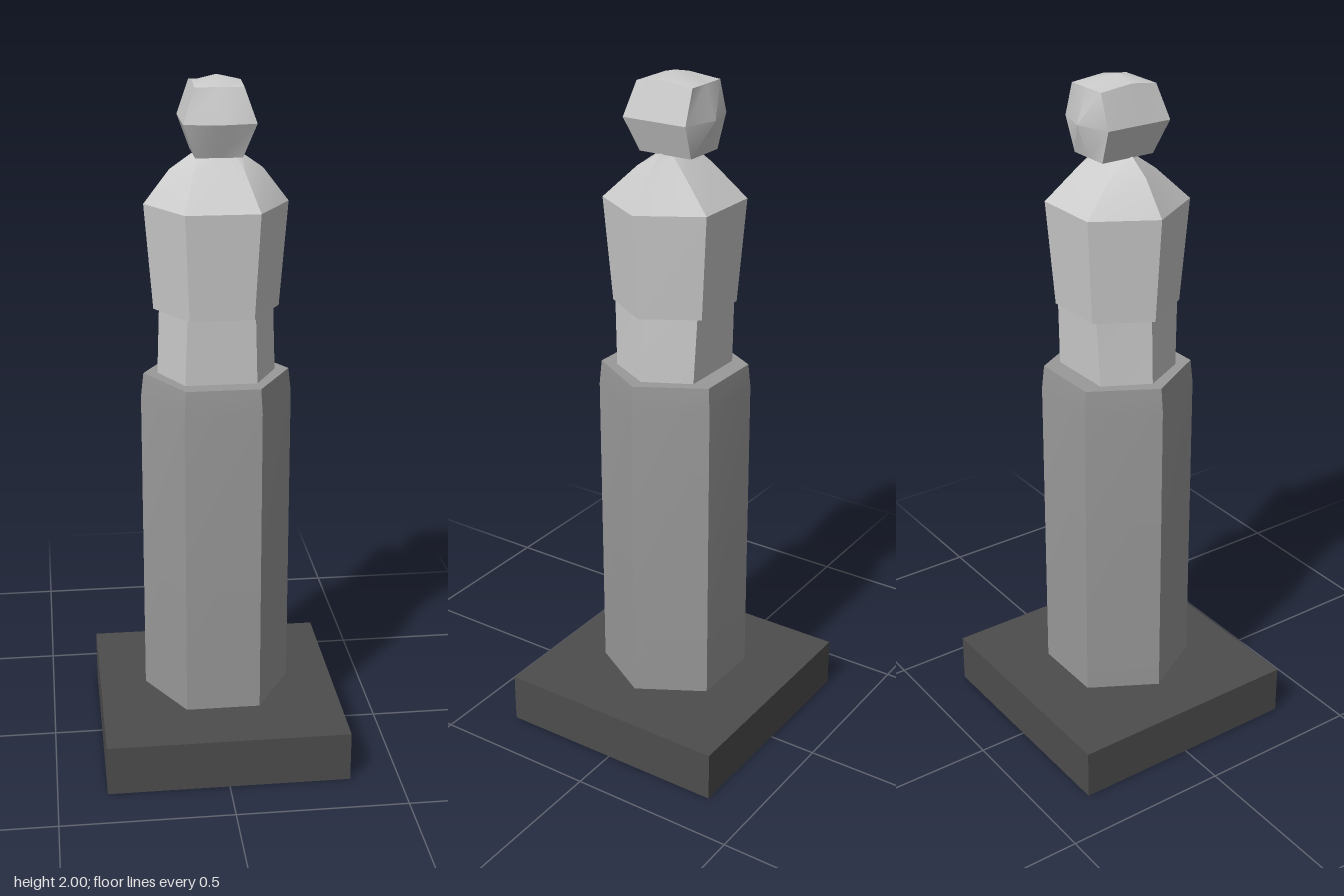
import * as THREE from 'three';
import { toCreasedNormals, mergeVertices } from 'three/addons/utils/BufferGeometryUtils.js';

const CREASE = 0.5;
const light = new THREE.MeshStandardMaterial({ color: 0xcccccc });
const mid = new THREE.MeshStandardMaterial({ color: 0x999999 });
const dark = new THREE.MeshStandardMaterial({ color: 0x4d4d4d });

// Closed six-sided loft; each ring is [side corner x, front corner x, front corner z, y]
function hexLoft(rings) {
  const pos = [], index = [];
  for (const [vx, hx, hz, y] of rings) {
    pos.push(vx, y, 0, hx, y, hz, -hx, y, hz, -vx, y, 0, -hx, y, -hz, hx, y, -hz);
  }
  for (let r = 0; r < rings.length - 1; r++) {
    for (let i = 0; i < 6; i++) {
      const a = r * 6 + i, b = r * 6 + (i + 1) % 6;
      index.push(a, a + 6, b, b, a + 6, b + 6);
    }
  }
  const top = (rings.length - 1) * 6;
  for (let i = 1; i < 5; i++) {
    index.push(0, i, i + 1, top, top + i + 1, top + i);
  }
  const geo = new THREE.BufferGeometry();
  geo.setAttribute('position', new THREE.Float32BufferAttribute(pos, 3));
  geo.setIndex(index);
  return toCreasedNormals(geo, CREASE);
}

// Faceted head: a 2x2x2 box whose panels bulge and whose ends taper
function headGeometry() {
  let geo = new THREE.BoxGeometry(2, 2, 2, 2, 2, 2);
  geo.deleteAttribute('normal');
  geo.deleteAttribute('uv');
  geo = mergeVertices(geo);
  const p = geo.attributes.position;
  const level = {
    '1': { x: 0.067, front: 0.077, back: 0.1, bulge: 0 },
    '0': { x: 0.1, front: 0.1, back: 0.1, bulge: 1 },
    '-1': { x: 0.065, front: 0.07, back: 0.095, bulge: 0 },
  };
  for (let i = 0; i < p.count; i++) {
    const x = Math.round(p.getX(i)), y = Math.round(p.getY(i)), z = Math.round(p.getZ(i));
    const l = level[String(y + 0)];
    let depth = z > 0 ? l.front : l.back;
    if (x === 0) depth += l.bulge * (z > 0 ? 0.018 : 0.03);
    let height = 1.88;
    if (y > 0) height = z !== 0 ? 1.975 : x !== 0 ? 1.985 : 2;
    if (y < 0) height = x === 0 && z === 0 ? 1.775 : 1.785;
    p.setXYZ(i, x * l.x, height, z * depth);
  }
  return toCreasedNormals(geo, CREASE);
}

export function createModel() {
  const group = new THREE.Group();
  const add = (name, geo, mat) => {
    const mesh = new THREE.Mesh(geo, mat);
    mesh.name = name;
    group.add(mesh);
    return mesh;
  };

  // Square plinth
  add('base', new THREE.BoxGeometry(0.712, 0.15, 0.712), dark).position.y = 0.075;

  // Tall hexagonal shaft with a softened upper rim
  add('column', hexLoft([
    [0.218, 0.109, 0.189, 0.165],
    [0.218, 0.109, 0.189, 1.09],
    [0.21, 0.105, 0.183, 1.16],
  ]), mid);

  // Narrow waist
  add('waist', hexLoft([
    [0.17, 0.102, 0.13, 1.15],
    [0.163, 0.095, 0.138, 1.355],
  ]), light);

  // Chest with rounded shoulders running up to the neck
  add('torso', hexLoft([
    [0.179, 0.09, 0.149, 1.35],
    [0.203, 0.103, 0.17, 1.65],
    [0.13, 0.071, 0.075, 1.745],
    [0.07, 0.046, 0.02, 1.787],
  ]), light);

  add('head', headGeometry(), light);
  return group;
}
